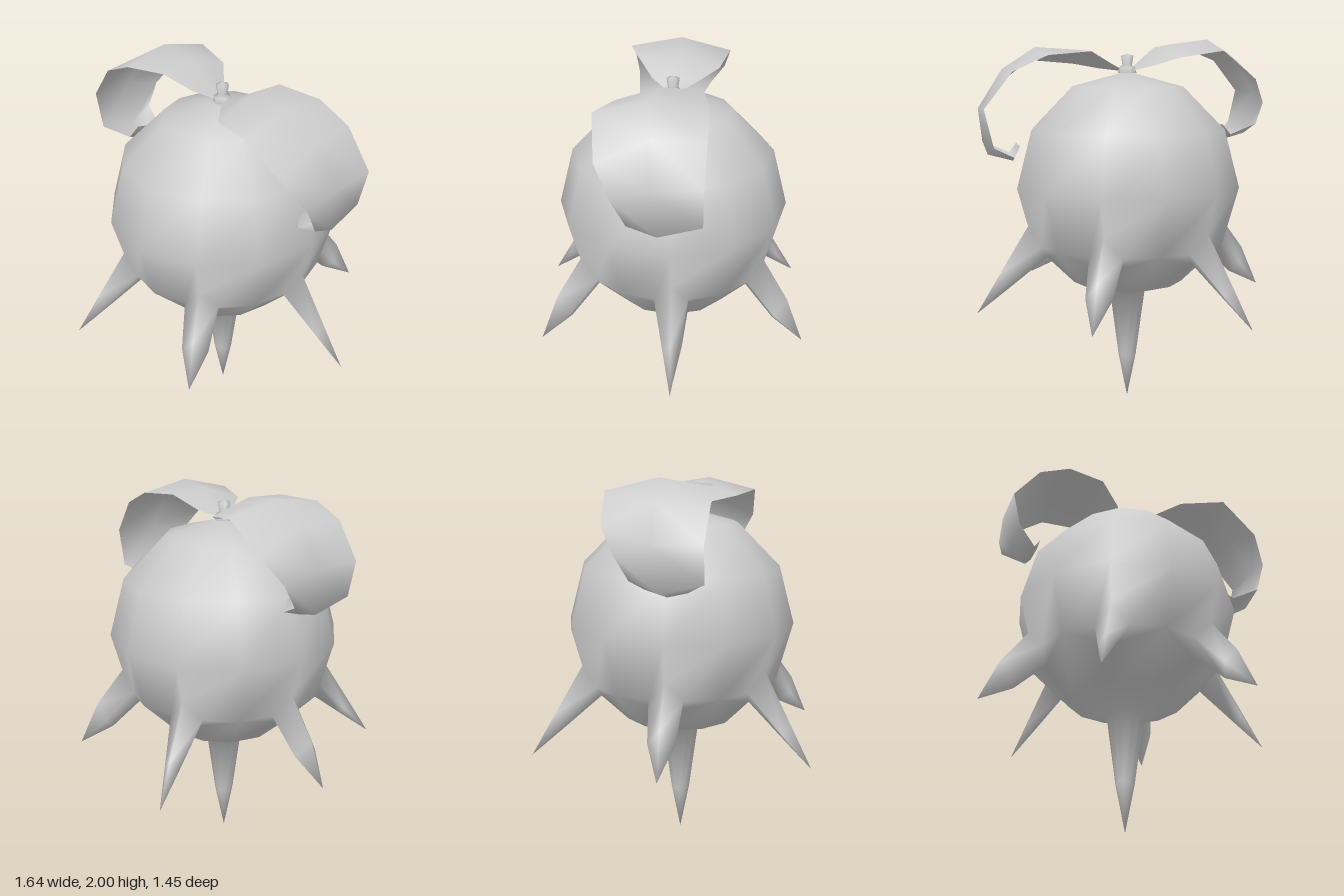
import * as THREE from 'three';

const V = (x, y, z) => new THREE.Vector3(x, y, z);
const R = 0.61, CX = -0.02, CY = 1.22, SEG = 12, ROWS = 6;

function makeMesh(points, index, name, side = THREE.FrontSide) {
  const geo = new THREE.BufferGeometry().setFromPoints(points);
  geo.setIndex(index);
  geo.computeVertexNormals();
  const mesh = new THREE.Mesh(geo, new THREE.MeshStandardMaterial({ color: 0xcccccc, side }));
  mesh.name = name;
  return mesh;
}

// Sphere whose chosen vertices are cut open and drawn out into spikes
function makeBody() {
  const grid = (r, s) => {
    const t = (r * Math.PI) / ROWS, p = (s * 2 * Math.PI) / SEG;
    return V(R * Math.sin(t) * Math.cos(p), R * Math.cos(t), R * Math.sin(t) * Math.sin(p));
  };
  const id = (r, s) => (r === 0 || r === ROWS ? `${r}_0` : `${r}_${s % SEG}`);
  const at = (key) => grid(...key.split('_').map(Number));

  // Spikes: tip, position and thickness of the middle ring
  const spikes = {};
  spikes[`${ROWS}_0`] = { tip: V(0, -CY, 0), t: 0.6, k: 0.5 };
  for (let s = 0; s < SEG; s += 2) {
    const thick = s % 4 === 2, a = (s * 2 * Math.PI) / SEG;
    const rad = thick ? 0.8 : 0.84, y = thick ? -0.62 : -0.66;
    spikes[`4_${s}`] = {
      tip: V(rad * Math.cos(a), y, rad * Math.sin(a)),
      t: thick ? 0.53 : 0.55, k: thick ? 0.78 : 0.46,
    };
  }

  const points = [], lookup = {}, index = [];
  const vert = (key, make) => {
    if (!(key in lookup)) lookup[key] = points.push(make()) - 1;
    return lookup[key];
  };
  const fan = (poly) => {
    for (let i = 1; i < poly.length - 1; i++) index.push(poly[0], poly[i], poly[i + 1]);
  };
  const cut = (v, n) => vert(`${v}>${n}`, () => at(v).lerp(at(n), 1 / 3));
  const middle = (v, n) => vert(`${v}>>${n}`, () => {
    const { tip, t, k } = spikes[v];
    const center = at(v).multiplyScalar(0.96);
    const offset = at(v).lerp(at(n), 1 / 3).sub(center).multiplyScalar(k);
    return center.lerp(tip, t).add(offset);
  });

  const addFace = (keys) => {
    const poly = [];
    keys.forEach((v, i) => {
      if (!spikes[v]) return poly.push(vert(v, () => at(v)));
      const p = keys[(i + keys.length - 1) % keys.length], n = keys[(i + 1) % keys.length];
      const a = cut(v, p), b = cut(v, n), a2 = middle(v, p), b2 = middle(v, n);
      poly.push(a, b);
      fan([b, a, a2, b2]);
      fan([b2, a2, vert(`${v}tip`, () => spikes[v].tip.clone())]);
    });
    fan(poly);
  };
  for (let r = 0; r < ROWS; r++) {
    for (let s = 0; s < SEG; s++) {
      const quad = [id(r, s), id(r, s + 1), id(r + 1, s + 1), id(r + 1, s)];
      addFace([...new Set(quad)]);
    }
  }
  const mesh = makeMesh(points, index, 'spikedBody');
  mesh.position.set(CX, CY, 0);
  return mesh;
}

// Curling leaf: each section is back edge, ridge, front edge
const LEAF = [
  [[0, 1.83, -0.02], [0, 1.835, 0], [0, 1.83, 0.03]],
  [[0.09, 1.865, -0.09], [0.1, 1.875, 0.03], [0.1, 1.845, 0.15]],
  [[0.22, 1.93, -0.15], [0.22, 1.94, 0.06], [0.21, 1.87, 0.28]],
  [[0.45, 1.91, -0.175], [0.46, 1.955, 0.1], [0.44, 1.89, 0.365]],
  [[0.63, 1.83, -0.165], [0.64, 1.84, 0.09], [0.65, 1.73, 0.345]],
  [[0.775, 1.645, -0.15], [0.77, 1.64, 0.09], [0.74, 1.59, 0.27]],
  [[0.73, 1.45, -0.15], [0.73, 1.4, 0.06], [0.735, 1.46, 0.2]],
  [[0.61, 1.39, -0.06], [0.6, 1.365, 0.04], [0.6, 1.4, 0.15]],
  [[0.57, 1.455, -0.03], [0.565, 1.44, 0.04], [0.57, 1.455, 0.1]],
];

function makeLeaf(name, place) {
  const points = [], index = [];
  LEAF.forEach((row, i) => {
    row.forEach((p) => points.push(place(i, ...p)));
    if (i === 0) return;
    for (let j = 0; j < 2; j++) {
      const a = (i - 1) * 3 + j, b = i * 3 + j;
      index.push(a, a + 1, b, b, a + 1, b + 1);
    }
  });
  return makeMesh(points, index, name, THREE.DoubleSide);
}

export function createModel() {
  const model = new THREE.Group();
  model.name = 'spikedBulb';
  model.add(makeBody());
  model.add(makeLeaf('leftLeaf', (i, x, y, z) => V(x, y, z)));
  // Opposite leaf is turned half round and sits a little higher
  model.add(makeLeaf('rightLeaf', (i, x, y, z) =>
    V(-0.035 - 0.93 * x, y + Math.min(0.085, 0.0145 * i), Math.min(0.06, 0.02 * i) - z)));

  // Small stem with a flared foot
  const profile = [[0.05, 1.82], [0.046, 1.85], [0.026, 1.86], [0.034, 1.91], [0, 1.922]];
  const stem = new THREE.Mesh(
    new THREE.LatheGeometry(profile.map(([x, y]) => new THREE.Vector2(x, y)), 6),
    new THREE.MeshStandardMaterial({ color: 0xcccccc }));
  stem.name = 'stem';
  stem.position.x = CX;
  model.add(stem);
  return model;
}
